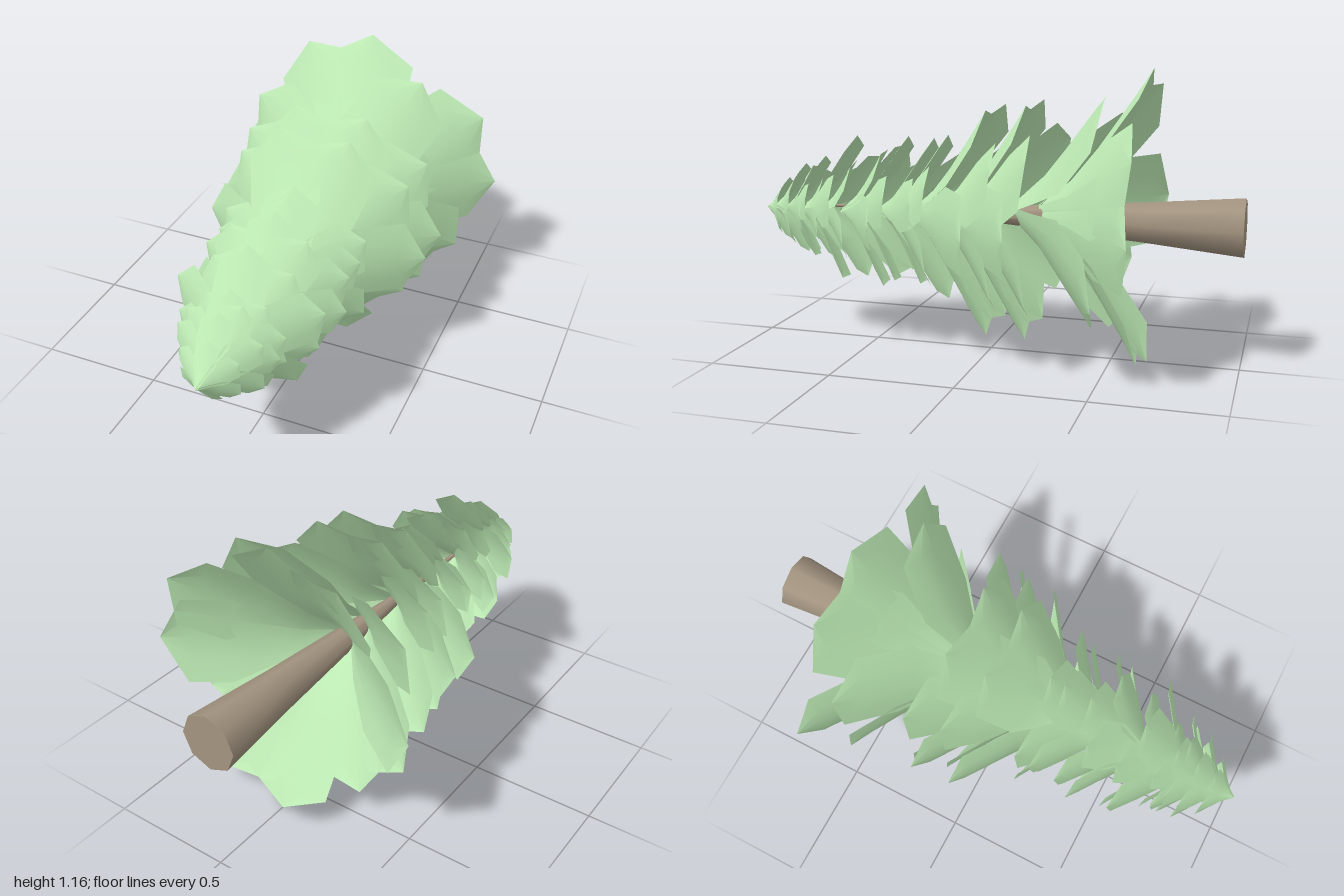
import * as THREE from 'three';

const leafMaterial = new THREE.MeshStandardMaterial({ color: 0xbdeab4, side: THREE.DoubleSide });
const barkMaterial = new THREE.MeshStandardMaterial({ color: 0xa39480 });

// Petal of unit reach: narrow root at the origin, hexagonal end, swept back along -z
function petalGeometry() {
  const rows = [[0, 0.04], [0.22, 0.16], [0.46, 0.33], [0.82, 0.33], [1, 0]]; // [reach, half width]
  const cols = [-1, -0.5, 0, 0.5, 1];
  const positions = [], index = [];
  rows.forEach(([t, w], i) => cols.forEach((u, j) => {
    positions.push(u * w, t, -0.8 * Math.pow(t, 0.78) - 0.2 * w * u * u);
    if (i < rows.length - 1 && j < cols.length - 1) {
      const a = i * cols.length + j, c = a + cols.length;
      index.push(a, a + 1, c, a + 1, c + 1, c);
    }
  }));
  const geometry = new THREE.BufferGeometry();
  geometry.setAttribute('position', new THREE.Float32BufferAttribute(positions, 3));
  geometry.setIndex(index);
  geometry.computeVertexNormals();
  return geometry;
}

const around = (count, start) => Array.from({ length: count }, (_, i) => start + i * 360 / count);

export function createModel() {
  const model = new THREE.Group();

  // Tapering eight-sided trunk lying along z
  const trunk = new THREE.Mesh(new THREE.LatheGeometry([
    new THREE.Vector2(0, -1), new THREE.Vector2(0.115, -1), new THREE.Vector2(0.115, -1),
    new THREE.Vector2(0.08, -0.62), new THREE.Vector2(0.025, 0.1), new THREE.Vector2(0, 0.85),
  ], 8), barkMaterial);
  trunk.name = 'trunk';
  trunk.rotation.x = Math.PI / 2;
  trunk.position.y = 0.565;
  model.add(trunk);

  // Whorls of petals: [z of petal tips, axis height, reach, angles]
  const sides = [35, 145, 215, 325];
  const six = [0, 72, 108, 180, 252, 288];
  const whorls = [
    [-0.64, 0.582, 0.578, [0, 30, 90, 120, 180, 270, 300]],
    [-0.5, 0.585, 0.54, [60, 150, 210, 240, 330]],
    [-0.24, 0.565, 0.475, sides],
    [-0.18, 0.56, 0.483, six],
    [-0.1, 0.555, 0.44, sides],
    [-0.02, 0.55, 0.47, six],
    [0.18, 0.54, 0.34, around(6, 30)],
    [0.24, 0.555, 0.31, around(5, 90)],
    [0.35, 0.56, 0.31, around(5, 90)],
    [0.41, 0.545, 0.31, around(6, 0)],
    [0.54, 0.54, 0.27, around(5, 270)],
    [0.575, 0.555, 0.31, around(5, 90)],
    [0.68, 0.54, 0.2, around(5, 54)],
    [0.72, 0.555, 0.22, around(5, 90)],
    [0.75, 0.55, 0.2, around(5, 0)],
    [0.81, 0.55, 0.19, around(6, 30)],
    [0.89, 0.544, 0.132, around(6, 30)],
  ];
  const petal = petalGeometry();
  whorls.forEach(([z, y, reach, angles], i) => {
    const whorl = new THREE.Group();
    whorl.name = `leafWhorl${i + 1}`;
    whorl.position.set(0, y, z + 0.8 * reach);
    for (const angle of angles) {
      const leaf = new THREE.Mesh(petal, leafMaterial);
      leaf.name = 'leaf';
      leaf.scale.setScalar(reach);
      leaf.rotation.z = THREE.MathUtils.degToRad(angle - 90);
      whorl.add(leaf);
    }
    model.add(whorl);
  });
  return model;
}
